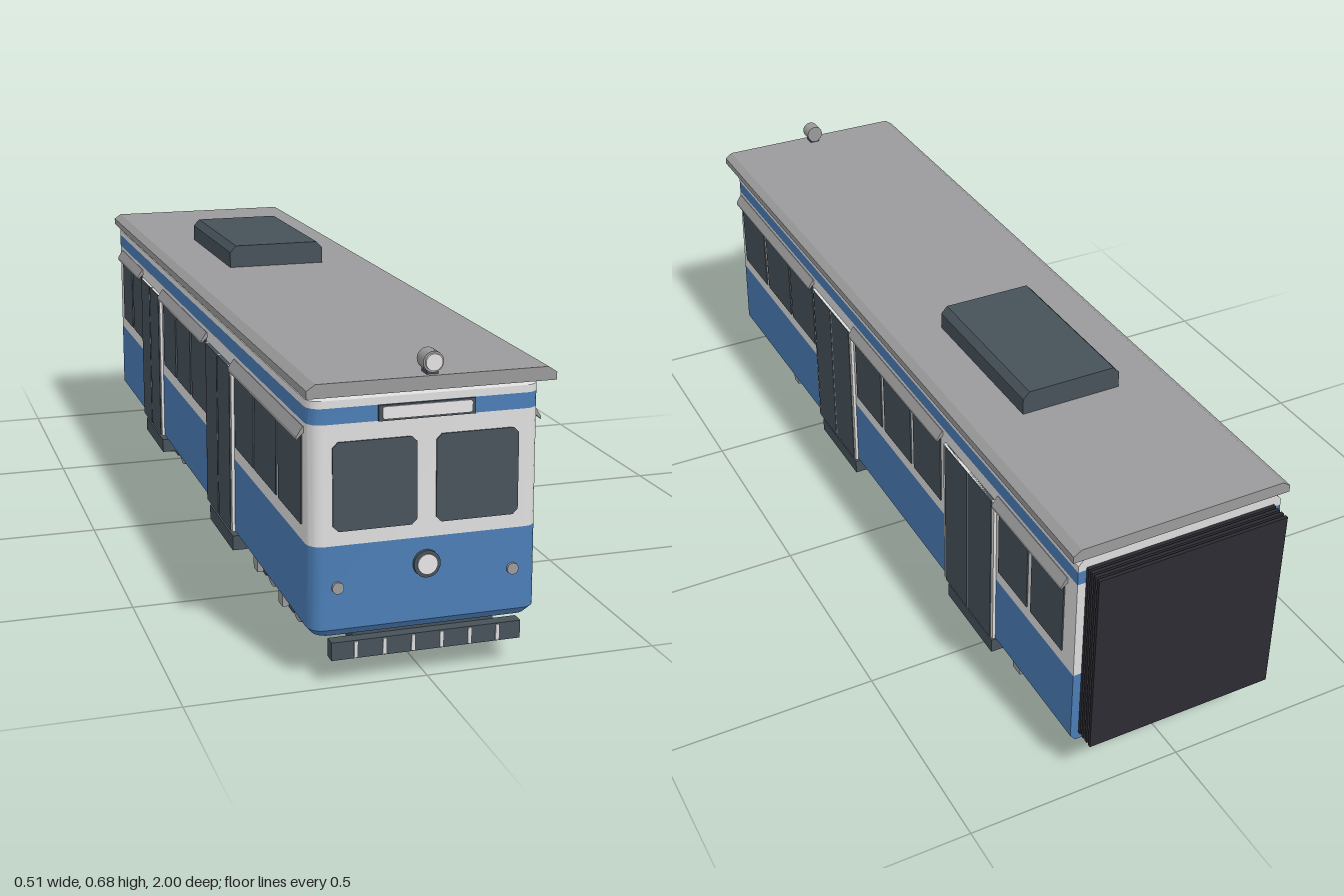
import * as THREE from 'three';
import { toCreasedNormals } from 'three/addons/utils/BufferGeometryUtils.js';

const mat = (name, color) => Object.assign(new THREE.MeshStandardMaterial({ color }), { name });
const WHITE = mat('cream white paint', 0xdcdcdc);
const BLUE = mat('blue paint', 0x4a7cb4);
const DARK = mat('dark slate', 0x475259);
const GREY = mat('grey metal', 0x9a9a9c);
const BLACK = mat('black rubber', 0x2b2b32);
const LAMP = mat('lamp glass', 0xe6e2e4);

function add(parent, name, geometry, material, x = 0, y = 0, z = 0) {
  const mesh = new THREE.Mesh(geometry, material);
  mesh.name = name;
  mesh.position.set(x, y, z);
  parent.add(mesh);
  return mesh;
}

// Box given by its limits on each axis
function box(parent, name, material, x0, x1, y0, y1, z0, z1) {
  const g = new THREE.BoxGeometry(x1 - x0, y1 - y0, z1 - z0);
  return add(parent, name, g, material, (x0 + x1) / 2, (y0 + y1) / 2, (z0 + z1) / 2);
}

// Polygon extruded along z from z0 to z1
function prism(points, z0, z1) {
  const shape = new THREE.Shape(points.map(p => new THREE.Vector2(...p)));
  return new THREE.ExtrudeGeometry(shape, { depth: z1 - z0, bevelEnabled: false }).translate(0, 0, z0);
}

// Rectangle with cut corners
const cutRect = (x0, x1, y0, y1, c) => [
  [x0 + c, y0], [x1 - c, y0], [x1, y0 + c], [x1, y1 - c],
  [x1 - c, y1], [x0 + c, y1], [x0, y1 - c], [x0, y0 + c]];

// Disc or short cylinder facing +z
const disc = (r, depth) => new THREE.CylinderGeometry(r, r, depth, 28).rotateX(Math.PI / 2);

const REAR = -0.95, LEAN = 0.045;
const frontZ = y => 0.985 - (y - 0.1) * LEAN;

// Plan outline of the body at one height, with rounded front corners
function ring([y, w, inset]) {
  const r = 0.03, zf = frontZ(y) - inset, pts = [[w, y, REAR]];
  for (const side of [1, -1]) {
    for (let i = 0; i <= 6; i++) {
      const a = (side > 0 ? i : 6 - i) / 6 * Math.PI / 2;
      pts.push([side * (w - r + r * Math.cos(a)), y, zf - r + r * Math.sin(a)]);
    }
  }
  pts.push([-w, y, REAR]);
  return pts;
}

// Body skin between successive rings
function skin(levels) {
  const rings = levels.map(ring), n = rings[0].length, pos = [];
  for (let k = 0; k + 1 < rings.length; k++) {
    for (let i = 0; i < n; i++) {
      const j = (i + 1) % n;
      const a = rings[k][i], b = rings[k][j], c = rings[k + 1][i], d = rings[k + 1][j];
      pos.push(...a, ...c, ...b, ...b, ...c, ...d);
    }
  }
  const g = new THREE.BufferGeometry();
  g.setAttribute('position', new THREE.Float32BufferAttribute(pos, 3));
  return toCreasedNormals(g, 0.5);
}

function floorPlate(level) {
  const pts = ring(level), pos = [];
  for (let i = 1; i + 1 < pts.length; i++) pos.push(...pts[0], ...pts[i], ...pts[i + 1]);
  const g = new THREE.BufferGeometry();
  g.setAttribute('position', new THREE.Float32BufferAttribute(pos, 3));
  g.computeVertexNormals();
  return g;
}

function addBody(model) {
  const L = [[0.1, 0.228, 0.01], [0.115, 0.24, 0], [0.287, 0.24, 0], [0.53, 0.24, 0],
    [0.562, 0.24, 0], [0.577, 0.24, 0], [0.597, 0.222, 0.012]];
  add(model, 'lowerBody', skin(L.slice(0, 3)), BLUE);
  add(model, 'windowBand', skin(L.slice(2, 4)), WHITE);
  add(model, 'upperStripe', skin(L.slice(3, 5)), BLUE);
  add(model, 'cornice', skin(L.slice(4)), WHITE);
  add(model, 'floor', floorPlate(L[0]), GREY);
}

function addFront(model) {
  // Group follows the leaning front wall
  const front = new THREE.Group();
  front.name = 'frontWall';
  front.position.set(0, 0.1, 0.985);
  front.rotation.x = -LEAN;
  model.add(front);
  const at = y => y - 0.1;
  for (const s of [-1, 1]) {
    const [a, b] = s > 0 ? [0.02, 0.193] : [-0.193, -0.02];
    add(front, 'windscreen', prism(cutRect(a, b, at(0.316), at(0.495), 0.011), -0.004, 0.003), DARK);
    add(front, 'markerLamp', disc(0.012, 0.01), GREY, s * 0.184, at(0.202), 0.001);
  }
  box(front, 'signFrame', DARK, -0.1, 0.1, at(0.53), at(0.562), -0.004, 0.004);
  add(front, 'signPanel', prism(cutRect(-0.093, 0.093, at(0.534), at(0.559), 0.004), 0, 0.007), LAMP);
  add(front, 'headlampRing', disc(0.028, 0.012), DARK, 0, at(0.233), 0.002);
  add(front, 'headlamp', disc(0.021, 0.012), LAMP, 0, at(0.233), 0.005);

  // Bumper with light slats
  box(model, 'bumper', DARK, -0.2, 0.2, 0.055, 0.093, 0.97, 0.996);
  box(model, 'bumperMount', DARK, -0.15, 0.15, 0.075, 0.103, 0.93, 0.972);
  for (let i = 0; i < 6; i++) {
    const x = -0.15 + i * 0.06;
    box(model, 'bumperSlat', WHITE, x - 0.004, x + 0.004, 0.057, 0.091, 0.99, 0.999);
  }
}

function addRoof(model) {
  add(model, 'roof', prism([[-0.255, 0.594], [0.255, 0.594], [0.255, 0.61], [0.237, 0.622],
    [-0.237, 0.622], [-0.255, 0.61]], -0.955, 1), GREY);
  add(model, 'roofUnit', prism([[-0.12, 0.62], [0.12, 0.62], [0.12, 0.66], [0.105, 0.676],
    [-0.105, 0.676], [-0.12, 0.66]], -0.5, -0.1), DARK);
  box(model, 'roofLampStand', DARK, -0.012, 0.012, 0.62, 0.634, 0.962, 0.99);
  add(model, 'roofLampShell', disc(0.021, 0.036), GREY, 0, 0.647, 0.976);
  add(model, 'roofLamp', disc(0.017, 0.006), LAMP, 0, 0.647, 0.996);
}

// Windows, awnings, doors and steps of one side; s is +1 for left
function addSide(model, s) {
  const plate = (name, m, x0, x1, ...r) => s > 0
    ? box(model, name, m, x0, x1, ...r) : box(model, name, m, -x1, -x0, ...r);
  const groups = [
    [[0.764, 0.925], [0.582, 0.748], [0.413, 0.571]],
    [[-0.013, 0.137], [-0.18, -0.03], [-0.34, -0.196]],
    [[-0.753, -0.625], [-0.903, -0.77]]];
  for (const panes of groups) {
    for (const [z0, z1] of panes) plate('sideWindow', DARK, 0.237, 0.243, 0.32, 0.505, z0, z1);
    const z0 = panes[panes.length - 1][0] - 0.01, z1 = panes[0][1] + 0.01;
    const pts = [[0.238, 0.52], [0.242, 0.522], [0.255, 0.502], [0.255, 0.495], [0.238, 0.511]];
    add(model, 'awning', prism(pts.map(([x, y]) => [s * x, y]), z0, z1), GREY);
  }
  for (const z of [0.276, -0.488]) {
    plate('doorFrame', WHITE, 0.235, 0.247, 0.113, 0.5, z - 0.122, z + 0.122);
    plate('doorLeaf', DARK, 0.24, 0.249, 0.113, 0.5, z - 0.112, z - 0.004);
    plate('doorLeaf', DARK, 0.24, 0.249, 0.113, 0.5, z + 0.004, z + 0.112);
    plate('doorSeal', GREY, 0.24, 0.248, 0.113, 0.5, z - 0.004, z + 0.004);
    plate('step', DARK, 0.208, 0.243, 0.063, 0.098, z - 0.11, z + 0.11);
    plate('stepBracket', DARK, 0.19, 0.22, 0.085, 0.104, z - 0.1, z + 0.1);
  }
  // Equipment rail below the floor
  plate('underRail', GREY, 0.186, 0.2, 0.073, 0.101, -0.33, 0.164);
  for (const [z0, z1] of [[0.04, 0.15], [-0.02, 0.01], [-0.14, -0.095], [-0.2, -0.16]]) {
    plate('railBlock', DARK, 0.186, 0.204, 0.077, 0.098, z0, z1);
  }
}

function addBogie(model, zc) {
  const bogie = new THREE.Group();
  bogie.name = 'bogie';
  bogie.position.z = zc;
  model.add(bogie);
  box(bogie, 'transom', DARK, -0.18, 0.18, 0.06, 0.102, -0.05, 0.05);
  // Wheel section: web, raised tyre and hub
  const half = [[0, 0.012], [0.014, 0.012], [0.016, 0.006], [0.042, 0.006], [0.044, 0.014], [0.055, 0.014]];
  const profile = [...half.map(([r, x]) => [r, -x]), ...half.slice().reverse()]
    .map(p => new THREE.Vector2(...p));
  const wheel = toCreasedNormals(new THREE.LatheGeometry(profile, 28), 0.5).rotateZ(Math.PI / 2);
  const sideFrame = prism([[-0.165, 0.05], [-0.15, 0.04], [-0.065, 0.04], [-0.045, 0.06], [0.045, 0.06],
    [0.065, 0.04], [0.15, 0.04], [0.165, 0.05], [0.165, 0.075], [0.14, 0.088], [0.07, 0.088],
    [0.05, 0.1], [-0.05, 0.1], [-0.07, 0.088], [-0.14, 0.088], [-0.165, 0.075]], -0.009, 0.009)
    .rotateY(-Math.PI / 2);
  const axle = new THREE.CylinderGeometry(0.011, 0.011, 0.37, 12).rotateZ(Math.PI / 2);
  for (const z of [-0.102, 0.102]) {
    add(bogie, 'axle', axle, DARK, 0, 0.055, z);
    for (const s of [-1, 1]) {
      add(bogie, 'wheel', wheel, GREY, s * 0.158, 0.055, z);
      box(bogie, 'axleBox', GREY, s * 0.202 - 0.008, s * 0.202 + 0.008, 0.042, 0.072, z - 0.016, z + 0.016);
      for (const d of [-0.03, 0.03]) {
        box(bogie, 'spring', GREY, s * 0.187 - 0.008, s * 0.187 + 0.008, 0.085, 0.102, z + d - 0.008, z + d + 0.008);
      }
    }
  }
  for (const s of [-1, 1]) add(bogie, 'sideFrame', sideFrame, DARK, s * 0.187, 0, 0);
}

function addBellows(model) {
  box(model, 'bellowsCore', BLACK, -0.21, 0.21, 0.13, 0.56, -0.996, -0.945);
  for (let i = 0; i < 4; i++) {
    const z = -1 + i * 0.0135;
    box(model, 'bellowsFold', BLACK, -0.222, 0.222, 0.12, 0.57, z, z + 0.008);
  }
}

export function createModel() {
  const model = new THREE.Group();
  model.name = 'tramCar';
  addBody(model);
  addFront(model);
  addRoof(model);
  for (const s of [-1, 1]) addSide(model, s);
  for (const z of [0.565, -0.556]) addBogie(model, z);
  addBellows(model);
  return model;
}
